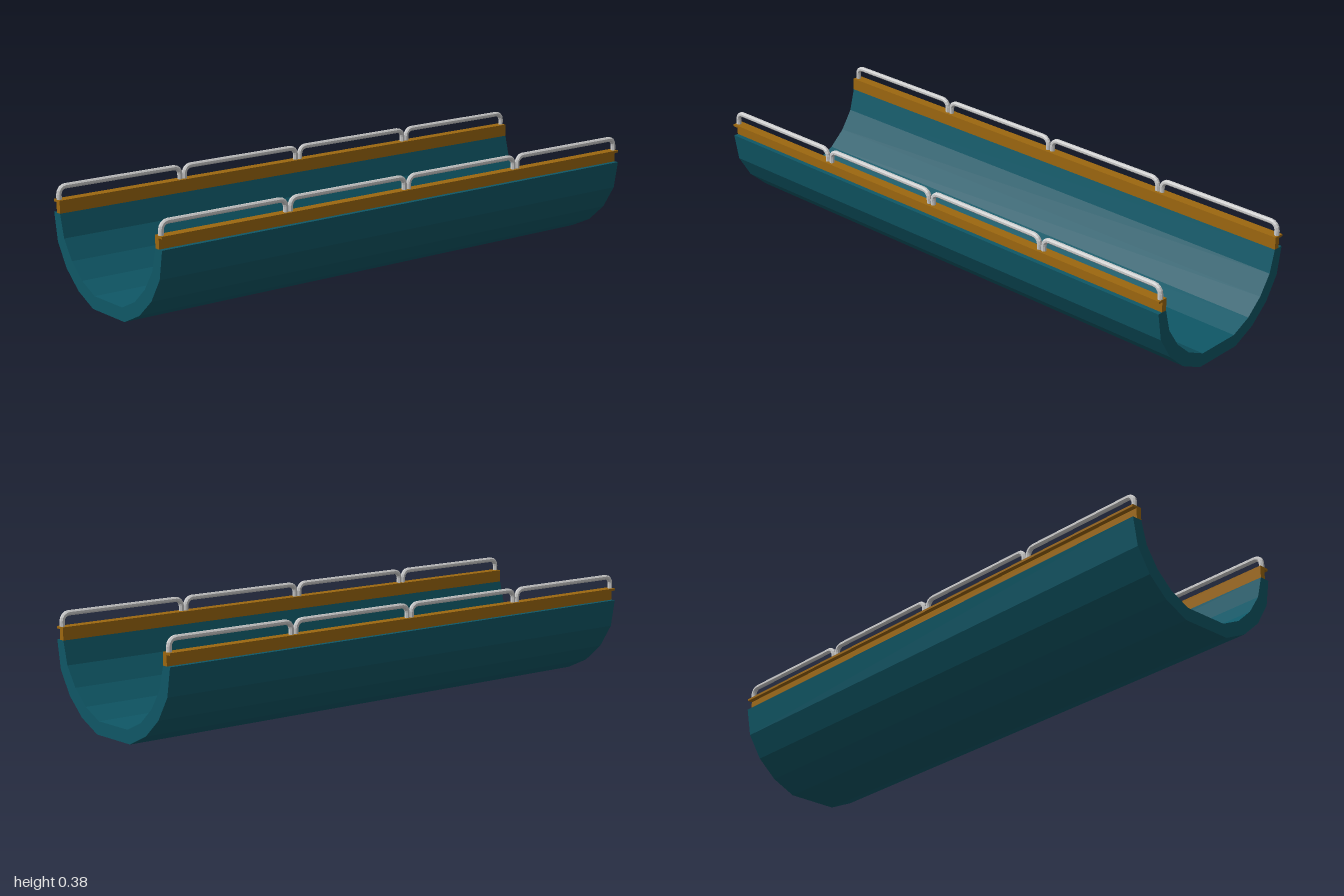
import * as THREE from 'three';

const LENGTH = 2;
const teal = new THREE.MeshStandardMaterial({ color: 0x0f5766 });
const ochre = new THREE.MeshStandardMaterial({ color: 0x9c670f });
const grey = new THREE.MeshStandardMaterial({ color: 0xcccccc, flatShading: true });

// Straight bar along z with the given x/y profile
function bar(name, points, material) {
  const shape = new THREE.Shape(points.map(([x, y]) => new THREE.Vector2(x, y)));
  const geometry = new THREE.ExtrudeGeometry(shape, { depth: LENGTH, bevelEnabled: false });
  geometry.translate(0, 0, -LENGTH / 2);
  const mesh = new THREE.Mesh(geometry, material);
  mesh.name = name;
  return mesh;
}

// Octagonal rod bent into a staple: post up, rounded corner, rail, corner, post down
function hoopGeometry(halfSpan, height, radius, bend, sides = 8, steps = 4) {
  const path = [{ y: 0, z: -halfSpan, a: 0 }];
  for (const side of [-1, 1]) {
    for (let i = 0; i <= steps; i++) {
      const a = (i / steps + (side > 0 ? 1 : 0)) * Math.PI / 2;
      path.push({
        y: height - bend + bend * Math.sin(a),
        z: side * (halfSpan - bend) - bend * Math.cos(a),
        a,
      });
    }
  }
  path.push({ y: 0, z: halfSpan, a: Math.PI });

  const positions = [], index = [];
  path.forEach(({ y, z, a }, i) => {
    for (let j = 0; j < sides; j++) {
      const t = (j + 0.5) / sides * Math.PI * 2;
      const out = radius * Math.sin(t);
      positions.push(radius * Math.cos(t), y + out * Math.sin(a), z - out * Math.cos(a));
      if (i === 0) continue;
      const k = (j + 1) % sides, p = (i - 1) * sides, q = i * sides;
      index.push(p + j, q + j, p + k, p + k, q + j, q + k);
    }
  });
  const geometry = new THREE.BufferGeometry();
  geometry.setAttribute('position', new THREE.Float32BufferAttribute(positions, 3));
  geometry.setIndex(index);
  // Make every face point away from the rod's core
  orientOutward(geometry);
  geometry.computeVertexNormals();
  return geometry;
}

// Flip the winding when the enclosed volume comes out negative
function orientOutward(geometry) {
  const pos = geometry.attributes.position, idx = geometry.index.array;
  const [a, b, c] = [0, 1, 2].map(() => new THREE.Vector3());
  let volume = 0;
  for (let i = 0; i < idx.length; i += 3) {
    a.fromBufferAttribute(pos, idx[i]);
    b.fromBufferAttribute(pos, idx[i + 1]);
    c.fromBufferAttribute(pos, idx[i + 2]);
    volume += a.dot(b.cross(c));
  }
  if (volume < 0) {
    for (let i = 0; i < idx.length; i += 3) [idx[i], idx[i + 1]] = [idx[i + 1], idx[i]];
  }
}

export function createModel() {
  const model = new THREE.Group();
  model.name = 'channel';

  // Faceted half-pipe wall: outer then inner edge of the +x half, mirrored
  const outer = [[0.094, 0], [0.182, 0.041], [0.253, 0.104], [0.303, 0.185], [0.32, 0.283]];
  const inner = [[0.283, 0.283], [0.262, 0.203], [0.217, 0.135], [0.157, 0.081], [0.082, 0.046]];
  const half = [...outer, ...inner];
  const mirrored = half.map(([x, y]) => [-x, y]).reverse();
  model.add(bar('trough', [...half, ...mirrored], teal));

  // Lipped trim and a row of handrail hoops on each edge
  const trim = [[0.283, 0.283], [0.303, 0.283], [0.303, 0.319], [0.32, 0.319], [0.32, 0.327], [0.283, 0.327]];
  const hoop = hoopGeometry(0.2405, 0.0425, 0.0092, 0.025);
  for (const [side, s] of [['left', 1], ['right', -1]]) {
    model.add(bar(side + 'Trim', trim.map(([x, y]) => [s * x, y]), ochre));
    const rail = new THREE.Group();
    rail.name = side + 'Handrail';
    for (let i = 0; i < 4; i++) {
      const mesh = new THREE.Mesh(hoop, grey);
      mesh.name = 'railHoop' + (i + 1);
      mesh.position.set(s * 0.302, 0.327, -0.75 + i * 0.5);
      rail.add(mesh);
    }
    model.add(rail);
  }
  return model;
}
